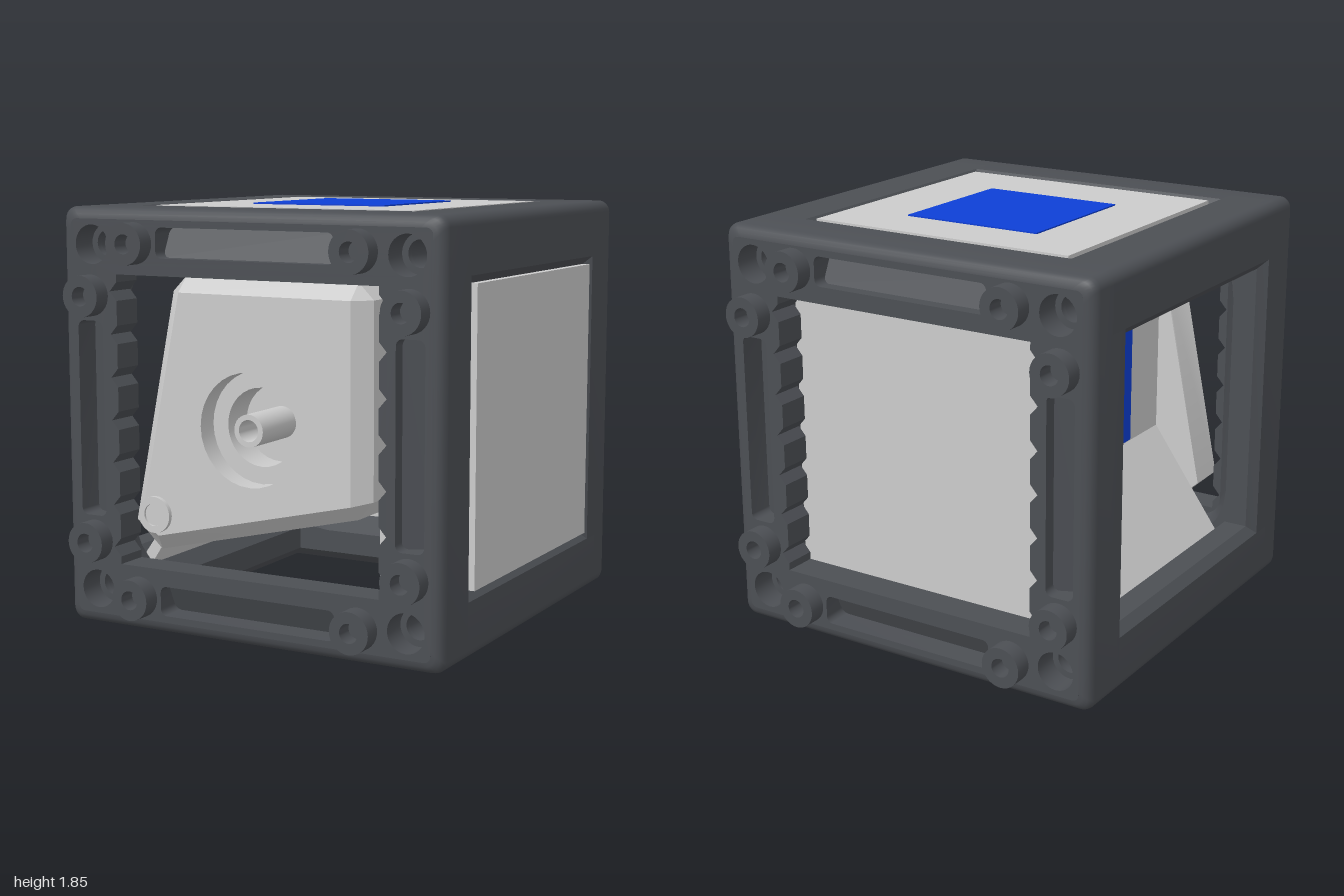
import * as THREE from 'three';
import { toCreasedNormals } from 'three/addons/utils/BufferGeometryUtils.js';

const mat = (color) => new THREE.MeshStandardMaterial({ color, side: THREE.DoubleSide });
const DARK = mat(0x4c4f54), GREY = mat(0xcccccc), BLUE = mat(0x0d3fd6);
const P = (x, y) => new THREE.Vector2(x, y);

function add(parent, name, geo, material, x = 0, y = 0, z = 0) {
  const m = new THREE.Mesh(geo, material);
  m.name = name;
  m.position.set(x, y, z);
  parent.add(m);
  return m;
}

function box(parent, name, material, [x0, x1], [y0, y1], [z0, z1]) {
  return add(parent, name, new THREE.BoxGeometry(x1 - x0, y1 - y0, z1 - z0), material,
    (x0 + x1) / 2, (y0 + y1) / 2, (z0 + z1) / 2);
}

// Counter-clockwise rounded rectangle
function roundRect(hw, hh, r, cx = 0, cy = 0, n = 6) {
  const pts = [];
  for (let q = 0; q < 4; q++) {
    const sx = q === 0 || q === 3 ? 1 : -1, sy = q < 2 ? 1 : -1;
    for (let i = 0; i <= n; i++) {
      const a = (q + i / n) * Math.PI / 2;
      pts.push(P(cx + sx * (hw - r) + r * Math.cos(a), cy + sy * (hh - r) + r * Math.sin(a)));
    }
  }
  return pts;
}

const circle = (r, x = 0, y = 0) => roundRect(r, r, r, x, y, 8);

function plate(outline, holes, z0, z1) {
  const s = new THREE.Shape(outline);
  s.holes = holes.map((h) => new THREE.Path(h));
  const g = new THREE.ExtrudeGeometry(s, { depth: z1 - z0, bevelEnabled: false });
  return toCreasedNormals(g.translate(0, 0, z0), 0.6);
}

// Skin between matching outlines, each given as [points, z]
function loft(sections) {
  const v = [];
  for (let k = 0; k + 1 < sections.length; k++) {
    const [a, za] = sections[k], [b, zb] = sections[k + 1];
    a.forEach((p, i) => {
      const j = (i + 1) % a.length;
      v.push(p.x, p.y, za, a[j].x, a[j].y, za, b[j].x, b[j].y, zb);
      v.push(p.x, p.y, za, b[j].x, b[j].y, zb, b[i].x, b[i].y, zb);
    });
  }
  const g = new THREE.BufferGeometry();
  g.setAttribute('position', new THREE.Float32BufferAttribute(v, 3));
  g.computeVertexNormals();
  return toCreasedNormals(g, 0.6);
}

// Square opening with triangular notches down both sides
function toothedOpening() {
  const w = 0.635, right = [P(w, -w)];
  for (let i = -3; i <= 3; i++) {
    const y = i * 0.187;
    right.push(P(w, y - 0.04), P(w + 0.035, y), P(w, y + 0.04));
  }
  right.push(P(w, w));
  return [...right, ...right.map((p) => P(-p.x, -p.y))];
}

// One end of the frame: toothed opening, pockets, corner holes, studs
function frameEnd() {
  const g = new THREE.Group();
  const corners = [[1, 1], [-1, 1], [-1, -1], [1, -1]];
  const bores = (r) => corners.map(([sx, sy]) => circle(r, sx * 0.76, sy * 0.76));
  const pockets = [];
  for (const s of [1, -1]) {
    pockets.push(roundRect(0.43, 0.065, 0.03, 0, s * 0.775));
    pockets.push(roundRect(0.065, 0.43, 0.03, s * 0.775, 0));
  }
  const square = roundRect(0.87, 0.87, 0.03);
  add(g, 'pocketedFace', plate(square, [toothedOpening(), ...bores(0.085), ...pockets], 0.8, 0.92), DARK);
  add(g, 'faceBacking', plate(square, [toothedOpening(), ...bores(0.057)], 0.77, 0.8), DARK);

  // Sloping pocket floors, deeper toward the outside
  const wedge = plate([P(-0.8, 0.71), P(-0.8, 0.84), P(-0.86, 0.71)], [], -0.43, 0.43);
  wedge.rotateY(Math.PI / 2);
  for (let i = 0; i < 4; i++) {
    const floor = add(g, 'pocketFloor', wedge, DARK);
    floor.rotation.set(0, Math.PI, i * Math.PI / 2, 'ZYX');
  }

  // Sloping inner wall and the ledge where it meets the side windows
  const ledgeHole = roundRect(0.77, 0.77, 0.3);
  add(g, 'innerSlope', loft([[ledgeHole, 0.63], [roundRect(0.675, 0.675, 0.1), 0.77]]), DARK);
  add(g, 'windowLedge', plate(roundRect(0.88, 0.88, 0.05), [ledgeHole, ...bores(0.057)], 0.63, 0.64), DARK);

  // Rim: chamfer toward the side windows, rounded outer edge
  const rim = [[0.88, 0.63], [0.92, 0.67]];
  for (let i = 0; i <= 4; i++) {
    const a = i * Math.PI / 8;
    rim.push([0.87 + 0.05 * Math.cos(a), 0.87 + 0.05 * Math.sin(a)]);
  }
  add(g, 'roundedRim', loft(rim.map(([h, z]) => [roundRect(h, h, 0.05), z])), DARK);

  // Hollow studs, two at each corner
  const stud = plate(circle(0.09), [circle(0.042)], 0.88, 1);
  for (const [sx, sy] of corners) {
    add(g, 'stud', stud, DARK, sx * 0.54, sy * 0.77);
    add(g, 'stud', stud, DARK, sx * 0.77, sy * 0.54);
  }
  return g;
}

// Tilted front plate with chamfered edges, round recess and hub
function frontPlate() {
  const g = new THREE.Group();
  const c = (list) => list.map(([x, y]) => P(x, y - 0.925));
  const outer = c([[-0.35, 1.56], [-0.42, 1.49], [-0.63, 0.47], [-0.5, 0.35],
    [0.48, 0.58], [0.55, 0.66], [0.55, 1.49], [0.48, 1.56]]);
  const front = c([[-0.35, 1.49], [-0.35, 1.49], [-0.56, 0.48], [-0.47, 0.425],
    [0.48, 0.645], [0.48, 0.645], [0.48, 1.49], [0.48, 1.49]]);
  add(g, 'plateEdges', loft([[outer, 0.62], [outer, 0.8], [front, 0.87]]), GREY);
  const face = front.filter((p, i) => i === 0 || !p.equals(front[i - 1]));
  add(g, 'plateFace', plate(face, [circle(0.245)], 0.76, 0.87), GREY);
  add(g, 'plateBack', plate(outer, [circle(0.2)], 0.61, 0.64), GREY);
  add(g, 'recessStep', plate(circle(0.25), [circle(0.17)], 0.62, 0.77), GREY);
  add(g, 'hub', plate(circle(0.07), [circle(0.047)], 0.6, 0.88), GREY);
  add(g, 'pivotBoss', plate(circle(0.08), [circle(0.05)], 0.63, 0.89), GREY, -0.48, -0.405);
  add(g, 'pivotPin', plate(circle(0.05), [], 0.63, 0.88), GREY, -0.48, -0.405);
  return g;
}

export function createModel() {
  const model = new THREE.Group(), body = new THREE.Group();
  model.name = 'cubeModule';
  body.name = 'body';
  body.position.y = 0.925;
  model.add(body);

  // Dark frame: two matching ends joined by four bored corner posts
  for (let i = 0; i < 2; i++) {
    const end = frameEnd();
    end.name = i ? 'backFrame' : 'frontFrame';
    end.rotation.y = i * Math.PI;
    body.add(end);
  }
  const post = [P(0.63, 0.77), P(0.77, 0.63), P(0.88, 0.63), P(0.92, 0.67)];
  for (let i = 0; i <= 6; i++) {
    const a = i * Math.PI / 12;
    post.push(P(0.87 + 0.05 * Math.cos(a), 0.87 + 0.05 * Math.sin(a)));
  }
  post.push(P(0.67, 0.92), P(0.63, 0.88));
  const postGeo = plate(post, [circle(0.057, 0.76, 0.76)], -0.77, 0.77);
  for (let i = 0; i < 4; i++) add(body, 'cornerPost', postGeo, DARK).rotation.z = i * Math.PI / 2;

  // Closing panels on the top, +x side and back
  const full = [-0.635, 0.635], depth = [-0.635, 0.61];
  box(body, 'topPanel', GREY, full, [0.63, 0.92], depth);
  box(body, 'sidePanel', GREY, [0.48, 0.92], full, depth);
  box(body, 'backPanel', GREY, [-0.67, 0.67], [-0.67, 0.67], [-0.76, -0.63]);
  box(body, 'topBluePad', BLUE, [-0.33, 0.33], [0.91, 0.926], [-0.38, 0.29]);

  // Inner block with blue pads, and the sloping shelf beside it
  box(body, 'innerBlock', GREY, [-0.4, 0.5], [-0.22, 0.63], [-0.63, 0.605]);
  box(body, 'innerBluePad', BLUE, [-0.41, -0.39], [-0.19, 0.47], [-0.33, 0.33]);
  box(body, 'lowerBluePad', BLUE, [-0.33, 0.33], [-0.23, -0.21], [-0.28, 0.38]);
  const shelf = [P(-0.77, -0.72), P(-0.73, -0.76), P(-0.37, -0.22), P(-0.4, -0.2)];
  add(body, 'slopingShelf', plate(shelf, [], -0.63, 0.605), GREY);

  const panel = frontPlate();
  panel.name = 'frontPlate';
  body.add(panel);
  return model;
}
